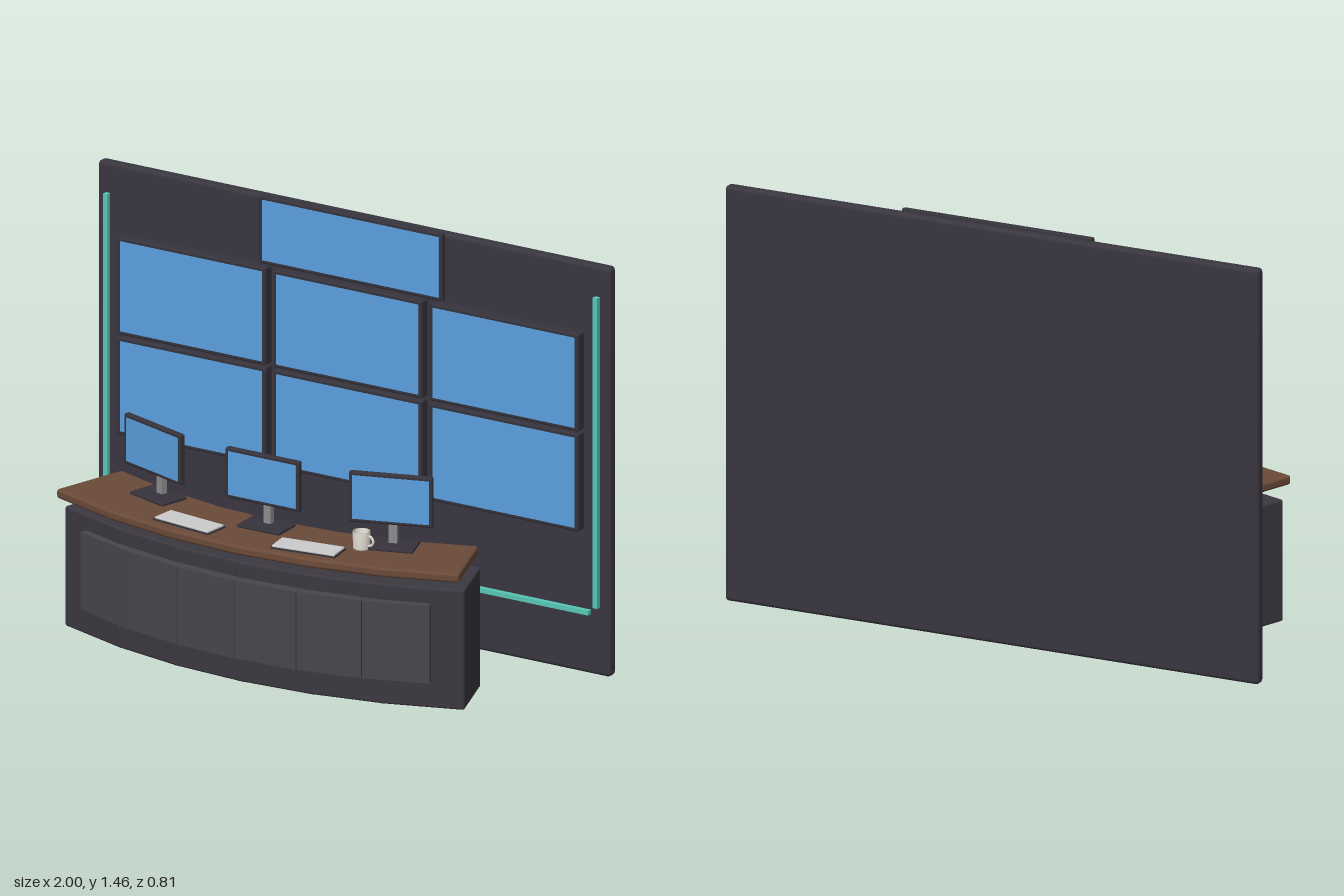
import * as THREE from 'three';
import { RoundedBoxGeometry } from 'three/addons/geometries/RoundedBoxGeometry.js';

const mat = (color) => new THREE.MeshStandardMaterial({ color });
const M = {
  dark: mat(0x3a3640), cabinet: mat(0x3c3841), panel: mat(0x48464d), frame: mat(0x36333c),
  screen: mat(0x5b9fe0), teal: mat(0x58c8b6), wood: mat(0x6b4a39),
  metal: mat(0x8c8c90), key: mat(0xcccccc), mug: mat(0xe4dfd4),
};
M.mug.side = THREE.DoubleSide;

// Rounded (r > 0) or plain box, placed by its centre
function box(parent, name, material, size, pos, r = 0, ry = 0) {
  const geo = r > 0 ? new RoundedBoxGeometry(...size, 2, r) : new THREE.BoxGeometry(...size);
  const mesh = new THREE.Mesh(geo, material);
  mesh.name = name;
  mesh.position.set(...pos);
  mesh.rotation.y = ry;
  parent.add(mesh);
  return mesh;
}

// Six boxes set along an arc that bulges toward the front
function arcRow(parent, name, material, radius, zc, size, y, r) {
  const row = new THREE.Group();
  row.name = name;
  const step = THREE.MathUtils.degToRad(7.36);
  for (let i = 0; i < 6; i++) {
    const a = (i - 2.5) * step;
    box(row, name + 'Segment', material, size, [radius * Math.sin(a), y, zc + radius * Math.cos(a)], r, a);
  }
  parent.add(row);
}

function wallScreen(parent, x, y, w, h, z0, z1) {
  const g = new THREE.Group();
  g.name = 'wallScreen';
  box(g, 'screenFrame', M.frame, [w, h, z1 - z0], [x, y, (z0 + z1) / 2], 0.006);
  box(g, 'screenFace', M.screen, [w - 0.026, h - 0.026, 0.004], [x, y, z1]);
  parent.add(g);
}

function deskMonitor(parent, x, z, ry) {
  const g = new THREE.Group();
  g.name = 'deskMonitor';
  box(g, 'monitorFoot', M.frame, [0.165, 0.012, 0.11], [0, 0.522, 0], 0.004);
  box(g, 'monitorStand', M.metal, [0.028, 0.11, 0.022], [0, 0.575, -0.015]);
  box(g, 'monitorBack', M.frame, [0.12, 0.09, 0.035], [0, 0.69, -0.012], 0.01);
  box(g, 'monitorFrame', M.frame, [0.288, 0.178, 0.022], [0, 0.692, 0.017], 0.006);
  box(g, 'monitorFace', M.screen, [0.264, 0.154, 0.003], [0, 0.692, 0.028]);
  g.position.set(x, 0, z);
  g.rotation.y = ry;
  parent.add(g);
}

function coffeeMug(parent) {
  const g = new THREE.Group();
  g.name = 'mug';
  const profile = [[0, 0], [0.026, 0], [0.029, 0.004], [0.03, 0.062], [0.026, 0.062], [0.025, 0.008], [0, 0.008]];
  const body = new THREE.Mesh(new THREE.LatheGeometry(profile.map((p) => new THREE.Vector2(...p)), 24), M.mug);
  body.name = 'mugBody';
  const handle = new THREE.Mesh(new THREE.TorusGeometry(0.017, 0.0045, 8, 16, Math.PI), M.mug);
  handle.name = 'mugHandle';
  handle.rotation.z = -Math.PI / 2;
  handle.position.set(0.028, 0.031, 0);
  g.add(body, handle);
  g.position.set(0.378, 0.517, 0.195);
  parent.add(g);
}

export function createModel() {
  const model = new THREE.Group();
  model.name = 'controlRoom';

  // Back wall with its light strips
  box(model, 'wall', M.dark, [2, 1.45, 0.042], [0, 0.725, -0.39], 0.014);
  for (const s of [-1, 1]) box(model, 'sideLight', M.teal, [0.018, 1.1, 0.018], [s * 0.956, 0.795, -0.355]);
  box(model, 'lowerLight', M.teal, [1.86, 0.016, 0.018], [0, 0.223, -0.355]);

  // Two rows of wall screens and a wide one on top
  for (const x of [-0.61, 0, 0.61]) {
    for (const y of [0.683, 1.037]) wallScreen(model, x, y, 0.58, 0.345, -0.372, -0.33);
  }
  wallScreen(model, 0, 1.335, 0.715, 0.24, -0.372, -0.35);

  // Curved desk: cabinet, front panels, floating top
  arcRow(model, 'cabinet', M.cabinet, 1.908, -1.681, [0.295, 0.425, 0.24], 0.2325, 0.008);
  arcRow(model, 'frontPanel', M.panel, 1.785, -1.424, [0.23, 0.275, 0.05], 0.2525, 0);
  arcRow(model, 'deskTop', M.wood, 1.93, -1.681, [0.279, 0.033, 0.285], 0.5015, 0.01);

  // Things on the desk
  deskMonitor(model, 0, 0.185, 0);
  for (const s of [-1, 1]) {
    deskMonitor(model, s * 0.457, 0.127, s * 0.31);
    const k = new THREE.Group();
    k.name = 'keyboard';
    box(k, 'keyboardTray', M.frame, [0.234, 0.006, 0.092], [0, 0.52, 0]);
    box(k, 'keyboardTop', M.key, [0.228, 0.008, 0.086], [0, 0.526, 0], 0.003);
    k.position.set(s * 0.232, 0, 0.297);
    k.rotation.y = s * 0.13;
    model.add(k);
  }
  coffeeMug(model);
  return model;
}
